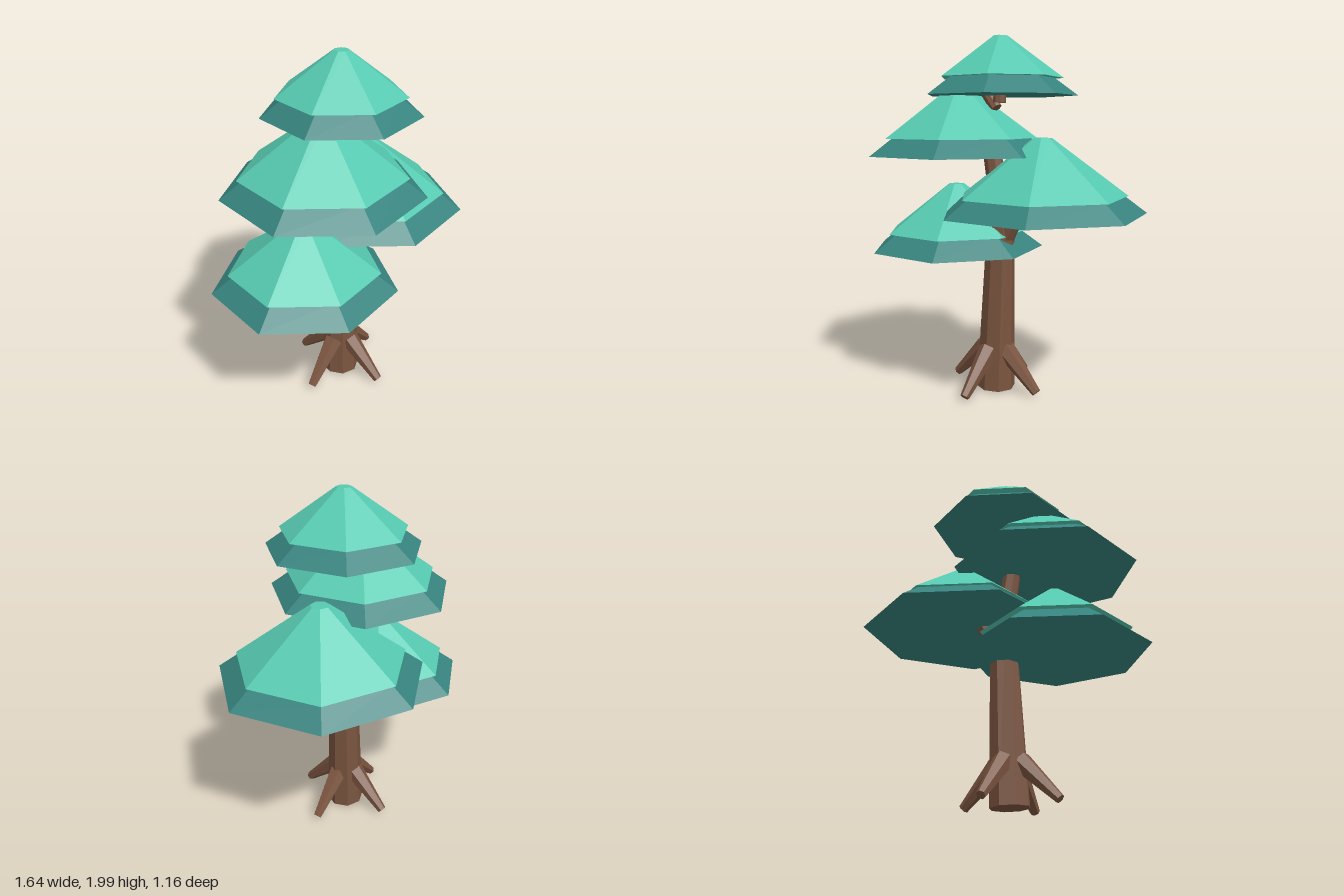
import * as THREE from 'three';

const mat = (color) => new THREE.MeshStandardMaterial({ color, flatShading: true });
const bark = mat(0x7a543f), leaf = mat(0x56c9b0), leafDark = mat(0x37837e);

// Tapered faceted limb between two points
function limb(name, a, b, ra, rb, sides = 8) {
  const from = new THREE.Vector3(...a), to = new THREE.Vector3(...b);
  const dir = to.clone().sub(from);
  const mesh = new THREE.Mesh(new THREE.CylinderGeometry(rb, ra, dir.length(), sides), bark);
  mesh.name = name;
  mesh.position.copy(from).add(to).multiplyScalar(0.5);
  mesh.quaternion.setFromUnitVectors(new THREE.Vector3(0, 1, 0), dir.normalize());
  return mesh;
}

// Seven-sided canopy: a bright cone over a wider dark skirt of the same slope
function canopy(name, x, z, yBase, ySkirt, yTop, rSkirt, rCone, rTop) {
  const group = new THREE.Group();
  group.name = name;
  const slope = (rCone - rTop) / (yTop - ySkirt);
  const tiers = [
    ['skirt', leafDark, yBase, ySkirt, rSkirt, rSkirt - slope * (ySkirt - yBase)],
    ['crown', leaf, ySkirt, yTop, rCone, rTop],
  ];
  for (const [part, material, y0, y1, r0, r1] of tiers) {
    const mesh = new THREE.Mesh(new THREE.CylinderGeometry(r1, r0, y1 - y0, 7), material);
    mesh.name = part;
    mesh.position.set(x, (y0 + y1) / 2, z);
    mesh.rotation.y = Math.PI;
    group.add(mesh);
  }
  return group;
}

export function createModel() {
  const tree = new THREE.Group();
  tree.name = 'tree';

  // Trunk, slightly leaning, and the branches that carry the canopies
  tree.add(
    limb('trunk', [-0.023, 0.01, 0.052], [0.01, 1.12, 0.037], 0.11, 0.074),
    limb('rightBranch', [0.02, 0.88, 0.037], [0.2, 1.2, 0.02], 0.06, 0.05),
    limb('leftBranch', [0.0, 0.86, 0.037], [-0.2, 1.0, 0.037], 0.055, 0.045),
    limb('upperTrunk', [0.01, 1.0, 0.037], [-0.06, 1.44, 0.05], 0.06, 0.05),
    limb('topBranch', [-0.03, 1.61, 0.035], [-0.1, 1.7, 0.035], 0.034, 0.034),
    limb('topStem', [0, 1.64, 0.045], [0, 1.8, 0.04], 0.036, 0.03),
  );

  // Four roots around the foot
  for (let i = 0; i < 4; i++) {
    const c = Math.cos(i * Math.PI / 2), s = Math.sin(i * Math.PI / 2);
    const at = (r, y) => [-0.023 + c * r, y, 0.052 + s * r];
    tree.add(limb('root', at(0.065, 0.245), at(0.285, 0.03), 0.058, 0.026, 6));
  }

  // Canopies from the top down
  tree.add(
    canopy('topCanopy', 0, 0.035, 1.68, 1.775, 2.0, 0.43, 0.35, 0.04),
    canopy('upperLeftCanopy', -0.24, 0.1, 1.35, 1.445, 1.735, 0.533, 0.44, 0.048),
    canopy('rightCanopy', 0.255, 0, 1.04, 1.135, 1.45, 0.58, 0.475, 0.052),
    canopy('lowerLeftCanopy', -0.325, 0.035, 0.8, 0.9, 1.175, 0.51, 0.417, 0.046),
  );
  return tree;
}
